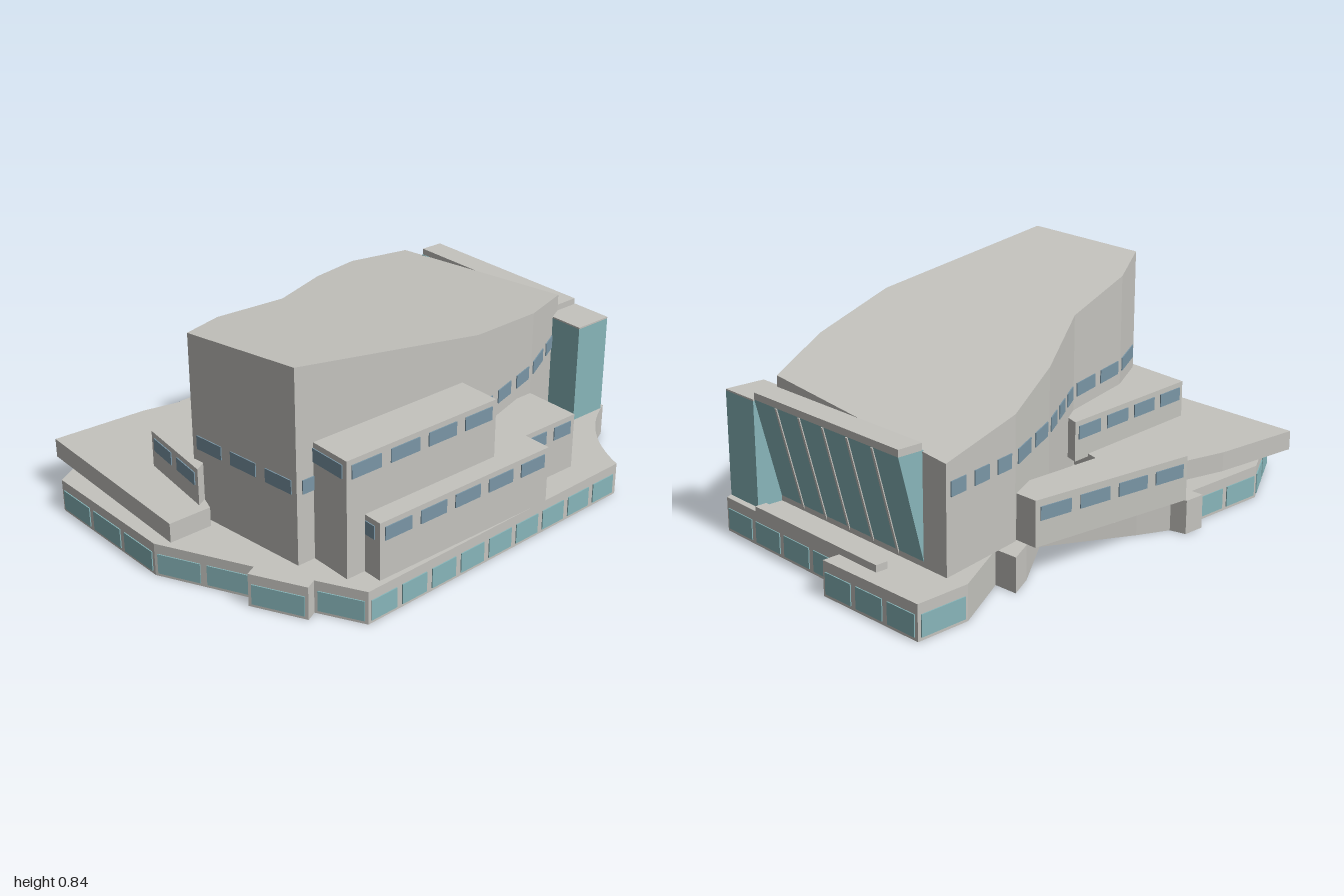
import * as THREE from 'three';

const mat = (name, color, side = THREE.FrontSide) => {
  const m = new THREE.MeshStandardMaterial({ color, side });
  m.name = name;
  return m;
};

export function createModel() {
  const model = new THREE.Group();
  model.name = 'concertHall';
  const concrete = mat('concrete', 0xc4c3be, THREE.DoubleSide);
  const blueGlass = mat('blue window glass', 0x7a96a6);
  const tealGlass = mat('teal glass', 0x88b6ba);

  const add = (name, geometry, material, parent = model) => {
    const mesh = new THREE.Mesh(geometry, material);
    mesh.name = name;
    parent.add(mesh);
    return mesh;
  };

  // Upright prism from a plan outline of [x, z] points
  const prism = (pts, y0, y1) => {
    const shape = new THREE.Shape(pts.map(([x, z]) => new THREE.Vector2(x, z)));
    return new THREE.ExtrudeGeometry(shape, { depth: y1 - y0, bevelEnabled: false })
      .rotateX(Math.PI / 2).translate(0, y1, 0);
  };

  const block = (name, x0, x1, y0, y1, z0, z1, material = concrete) =>
    add(name, new THREE.BoxGeometry(x1 - x0, y1 - y0, z1 - z0)
      .translate((x0 + x1) / 2, (y0 + y1) / 2, (z0 + z1) / 2), material);

  // Row of thin panes on a wall from a to b (outside lies to the left of travel, seen from above)
  const panes = (name, a, b, n, y0, y1, material, gap = 0.04) => {
    const row = new THREE.Group();
    row.name = name;
    model.add(row);
    const dx = b[0] - a[0], dz = b[1] - a[1], len = Math.hypot(dx, dz);
    const width = len / n - gap;
    for (let i = 0; i < n; i++) {
      const t = (i + 0.5) / n;
      const pane = add('pane', new THREE.BoxGeometry(width, y1 - y0, 0.006), material, row);
      pane.position.set(a[0] + dx * t + dz / len * 0.001, (y0 + y1) / 2, a[1] + dz * t - dx / len * 0.001);
      pane.rotation.y = Math.atan2(-dz, dx);
    }
  };

  // Ground floor podium, open underneath, with a concave rear corner
  const cove = new THREE.CubicBezierCurve(
    new THREE.Vector2(0.36, -0.925), new THREE.Vector2(0.43, -0.77),
    new THREE.Vector2(0.54, -0.67), new THREE.Vector2(0.705, -0.612))
    .getPoints(12).map(p => [p.x, p.y]);
  const front = [[0.745, 0.62], [0.58, 0.71], [0.60, 0.75], [0.41, 0.85], [0.39, 0.81],
    [0.06, 0.98], [-0.51, 0.995], [-0.695, 0.69], [-0.70, 0.32]];
  const rear = [[-0.745, -0.78], [-0.75, -0.985], [-0.30, -1.0], [-0.30, -0.925]];
  const podiumPlan = [...rear, ...cove, ...front, [-0.75, 0.32], [-0.75, 0.235], [-0.69, 0.22],
    [-0.64, 0.10], [-0.485, -0.22], [-0.65, -0.44], [-0.70, -0.535], [-0.61, -0.54]];
  const podium = prism(podiumPlan, 0, 0.125);
  const src = podium.attributes.position, kept = [];
  for (let i = 0; i < src.count; i += 3) {
    const isFloor = [0, 1, 2].every(k => src.getY(i + k) < 1e-5);
    if (!isFloor) for (let k = 0; k < 3; k++) kept.push(src.getX(i + k), src.getY(i + k), src.getZ(i + k));
  }
  const openPodium = new THREE.BufferGeometry();
  openPodium.setAttribute('position', new THREE.Float32BufferAttribute(kept, 3));
  openPodium.computeVertexNormals();
  add('podium', openPodium, concrete);

  // Podium glazing
  const shopfront = (a, b, n) => panes('podiumGlazing', a, b, n, 0.012, 0.088, tealGlass, 0.025);
  shopfront([0.705, -0.605], front[0], 9);
  shopfront(front[0], front[1], 1);
  shopfront(front[2], front[3], 1);
  shopfront(front[4], front[5], 2);
  shopfront(front[5], front[6], 3);
  shopfront(front[6], front[7], 2);
  shopfront(front[7], front[8], 2);
  shopfront(rear[0], rear[1], 1);
  shopfront(rear[1], rear[2], 3);
  shopfront(rear[3], cove[0], 4);

  // Main hall with a roof that falls toward the rear left
  const hallPlan = [[-0.67, -0.80], [0.205, -0.80], [0.36, -0.50], [0.48, -0.10], [0.48, 0.695],
    [-0.01, 0.755], [-0.13, 0.55], [-0.235, 0.19], [-0.455, -0.15], [-0.605, -0.45]];
  const hall = prism(hallPlan, 0.125, 1);
  const hp = hall.attributes.position;
  for (let i = 0; i < hp.count; i++) {
    if (hp.getY(i) > 0.5) hp.setY(i, 0.845 + 0.091 * (hp.getX(i) - 0.48) + 0.16 * (hp.getZ(i) - 0.695));
  }
  hall.computeVertexNormals();
  add('mainHall', hall, concrete);
  [0, 2, 3, 5, 3, 1, 2, 3, 2, 3].forEach((n, i) => {
    if (n) panes('hallWindows', hallPlan[i], hallPlan[(i + 1) % 10], n, 0.387, 0.438, blueGlass, 0.045);
  });

  // Right side stepped blocks
  block('upperSideBlock', 0.45, 0.645, 0.125, 0.56, -0.03, 0.625);
  panes('upperSideWindows', [0.645, -0.03], [0.645, 0.625], 4, 0.49, 0.54, blueGlass);
  panes('upperSideFrontWindow', [0.645, 0.625], [0.46, 0.625], 1, 0.49, 0.54, blueGlass);
  block('lowerSideBlock', 0.45, 0.72, 0.125, 0.34, -0.22, 0.55);
  panes('lowerSideWindows', [0.72, -0.22], [0.72, 0.55], 5, 0.27, 0.32, blueGlass);
  panes('lowerSideFrontWindow', [0.715, 0.55], [0.63, 0.55], 1, 0.27, 0.32, blueGlass);
  block('rearSideBlock', 0.39, 0.61, 0.125, 0.34, -0.47, -0.21);
  panes('rearSideWindows', [0.61, -0.47], [0.61, -0.22], 2, 0.27, 0.32, blueGlass);
  panes('rearSideEndWindow', [0.42, -0.47], [0.61, -0.47], 1, 0.27, 0.32, blueGlass);

  // Overhanging front terrace
  add('terraceSlab', prism([[-0.67, 0.92], [-0.65, 0.55], [-0.585, 0.22], [-0.545, 0.12],
    [-0.2, 0.21], [0, 0.74], [0.095, 0.77], [0.095, 0.935]], 0.127, 0.2), concrete);

  // Front foyer block on the terrace
  add('foyerBlock', prism([[-0.335, 0.10], [-0.24, 0.13], [0.0, 0.70], [0.04, 0.755], [0.06, 0.79],
    [-0.27, 0.755]], 0.19, 0.34), concrete);
  panes('foyerFrontWindows', [0.06, 0.79], [-0.27, 0.755], 2, 0.27, 0.32, blueGlass);
  panes('foyerSideWindows', [-0.27, 0.755], [-0.335, 0.10], 4, 0.27, 0.32, blueGlass);

  // Left wing cantilevered over the podium recess
  add('leftWing', prism([[-0.69, -0.44], [-0.595, -0.44], [-0.545, -0.33], [-0.545, 0.235],
    [-0.745, 0.235]], 0.127, 0.29), concrete);
  panes('leftWingFrontWindow', [-0.545, 0.235], [-0.745, 0.235], 1, 0.217, 0.265, blueGlass);
  panes('leftWingSideWindows', [-0.745, 0.235], [-0.69, -0.44], 4, 0.217, 0.265, blueGlass);

  // Rear glazed gallery, leaning outward at the top
  const section = new THREE.Shape([[0.795, 0.125], [0.895, 0.515], [0.795, 0.515]]
    .map(([x, y]) => new THREE.Vector2(x, y)));
  add('glassGallery', new THREE.ExtrudeGeometry(section, { depth: 0.765, bevelEnabled: false })
    .rotateY(Math.PI / 2).translate(-0.56, 0, 0), tealGlass);
  block('galleryRoof', -0.56, 0.205, 0.515, 0.54, -0.895, -0.80);
  for (let i = 1; i < 6; i++) {
    const mullion = add('galleryMullion', new THREE.BoxGeometry(0.01, 0.4, 0.006), concrete);
    mullion.position.set(-0.56 + i * 0.765 / 6, 0.32, -0.846);
    mullion.rotation.x = -Math.atan2(0.1, 0.39);
  }

  // Glass corner tower and entrance canopy
  block('glassTower', 0.205, 0.37, 0.003, 0.51, -0.9, -0.743, tealGlass);
  block('towerRoof', 0.205, 0.37, 0.51, 0.516, -0.9, -0.743);
  block('rearCanopy', -0.49, 0.17, 0.125, 0.15, -0.935, -0.89);

  return model;
}
